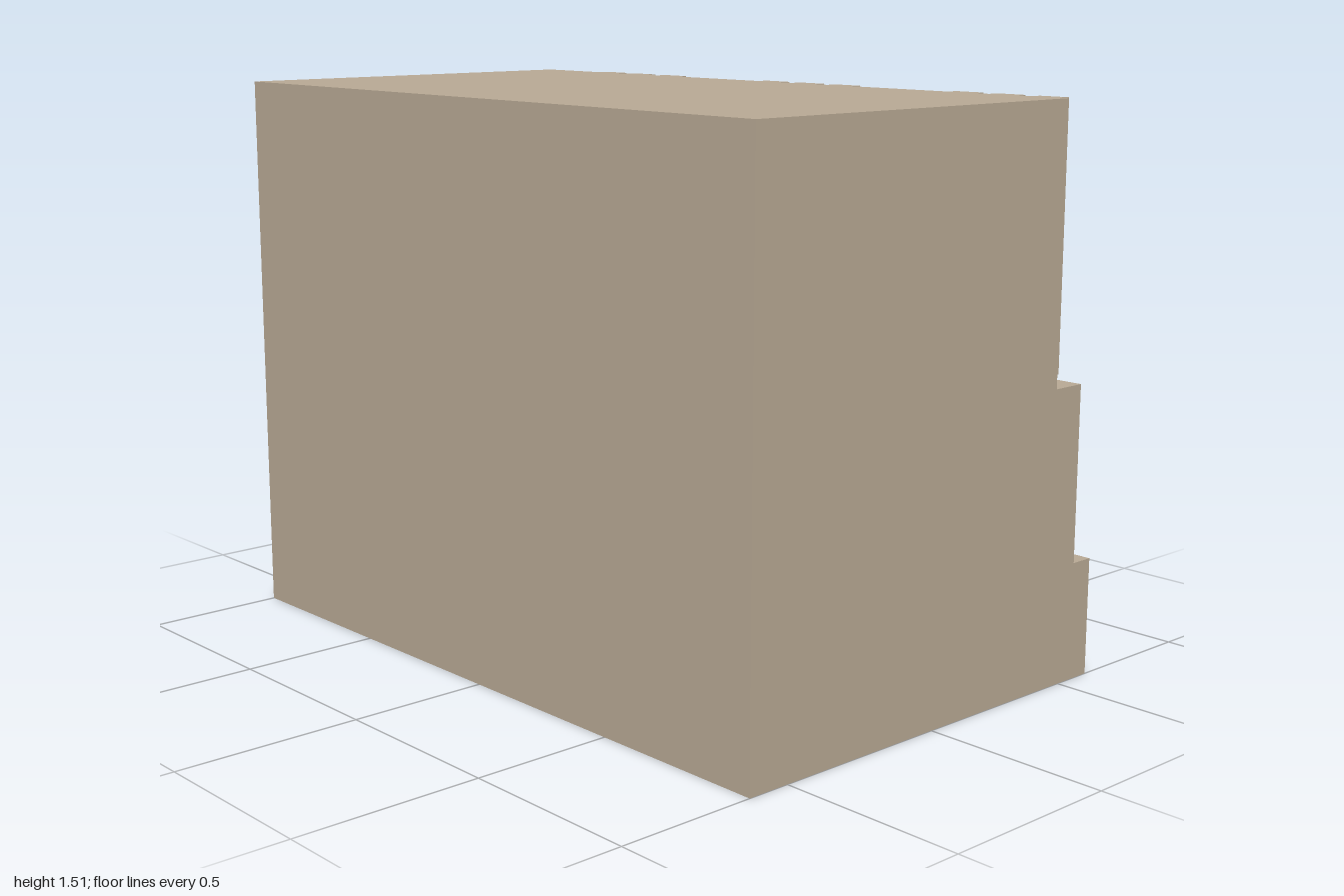
import * as THREE from 'three';

export function createModel() {
  const model = new THREE.Group();
  const stone = new THREE.MeshStandardMaterial({ color: 0xb8a994 });
  stone.name = 'tan stone';

  // Stepped block: side profile extruded along z
  const profile = new THREE.Shape([
    [-0.62, 0], [0.617, 0], [0.617, 0.315], [0.55, 0.315],
    [0.55, 0.787], [0.45, 0.787], [0.45, 1.512], [-0.62, 1.512],
  ].map(([x, y]) => new THREE.Vector2(x, y)));
  const blockGeometry = new THREE.ExtrudeGeometry(profile, { depth: 2, bevelEnabled: false });
  blockGeometry.translate(0, 0, -1);
  const block = new THREE.Mesh(blockGeometry, stone);
  block.name = 'steppedBlock';
  model.add(block);

  // Three groups of three upright pilasters above the upper ledge
  const pilasterGeometry = new THREE.BoxGeometry(0.13, 0.71, 0.091);
  for (let g = -1; g <= 1; g++) {
    const cluster = new THREE.Group();
    cluster.name = 'pilasterCluster';
    cluster.position.set(0.514, 1.15, 0.016 + g * 0.709);
    for (let i = -1; i <= 1; i++) {
      const pilaster = new THREE.Mesh(pilasterGeometry, stone);
      pilaster.name = 'pilaster';
      pilaster.position.z = i * 0.137;
      cluster.add(pilaster);
    }
    model.add(cluster);
  }

  return model;
}
